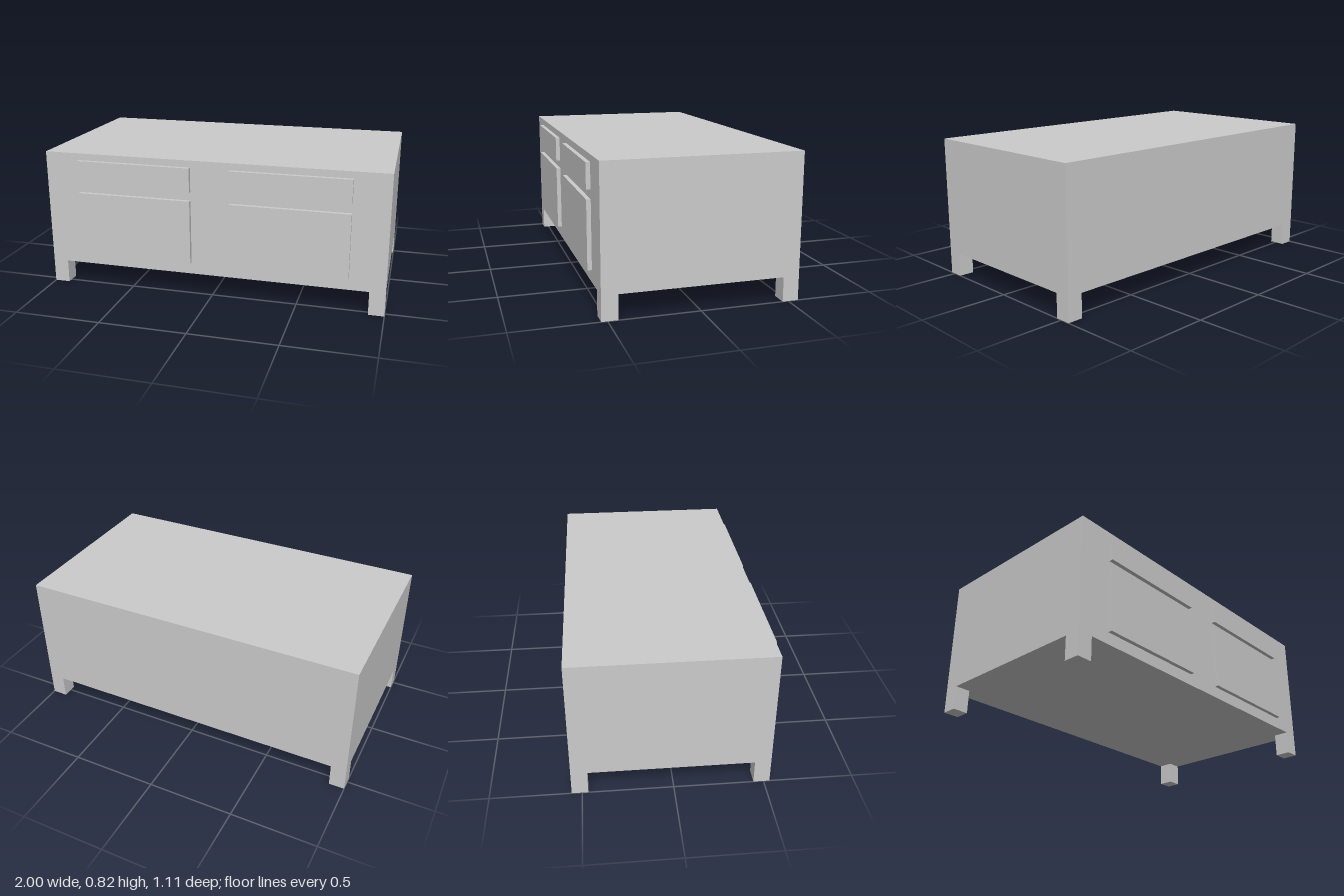
import * as THREE from 'three';

const material = new THREE.MeshStandardMaterial({ color: 0xcccccc, flatShading: true });

// Box given by its minimum and maximum corners
function box(name, [x0, y0, z0], [x1, y1, z1]) {
  const mesh = new THREE.Mesh(new THREE.BoxGeometry(x1 - x0, y1 - y0, z1 - z0), material);
  mesh.name = name;
  mesh.position.set((x0 + x1) / 2, (y0 + y1) / 2, (z0 + z1) / 2);
  return mesh;
}

export function createModel() {
  const model = new THREE.Group();
  model.name = 'cabinet';

  const back = -0.557, front = 0.533, panelFront = 0.557;
  const bottom = 0.138, top = 0.818, leg = 0.09;

  // Solid cabinet body
  model.add(box('body', [-1, bottom, back], [1, top, front]));

  for (const [side, s] of [['left', 1], ['right', -1]]) {
    // Square corner legs, flush with the body
    const x = s > 0 ? 1 - leg : -1;
    model.add(box(side + 'FrontLeg', [x, 0, front - leg], [x + leg, bottom, front]));
    model.add(box(side + 'BackLeg', [x, 0, back], [x + leg, bottom, back + leg]));

    // Drawer front above a cupboard door
    const cx = s * 0.455, half = 0.34;
    model.add(box(side + 'Drawer', [cx - half, 0.636, front], [cx + half, 0.778, panelFront]));
    model.add(box(side + 'Door', [cx - half, 0.207, front], [cx + half, 0.585, panelFront]));
  }
  return model;
}
